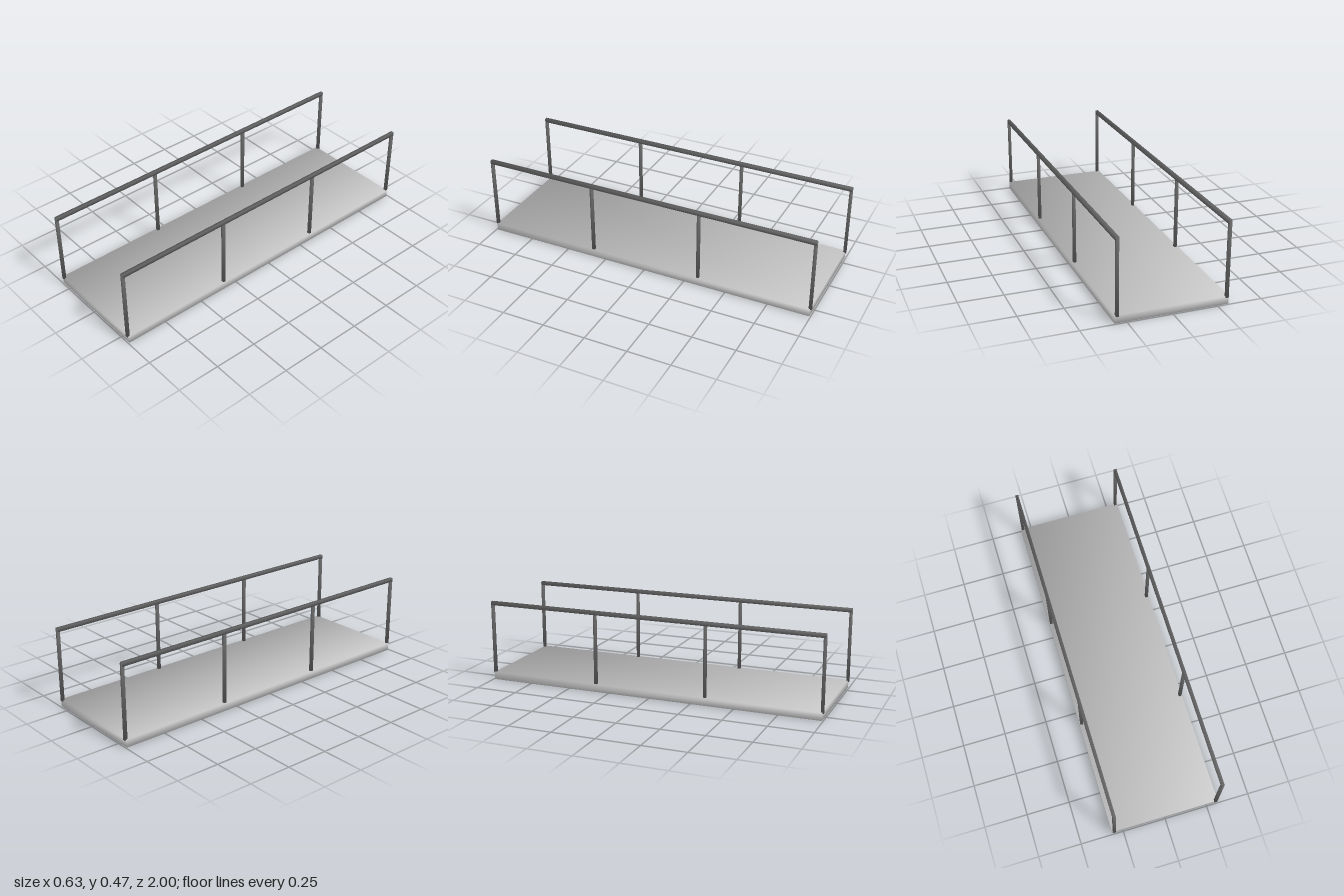
import * as THREE from 'three';

const deckMaterial = new THREE.MeshStandardMaterial({ color: 0xcccccc });
const railMaterial = new THREE.MeshStandardMaterial({ color: 0x666666 });

// Box shaded smoothly across its edges: every corner normal is the even
// average of its three faces
function smoothBox(w, h, d) {
  const geometry = new THREE.BoxGeometry(w, h, d);
  const { position, normal } = geometry.attributes;
  const n = new THREE.Vector3();
  for (let i = 0; i < position.count; i++) {
    n.set(Math.sign(position.getX(i)), Math.sign(position.getY(i)), Math.sign(position.getZ(i))).normalize();
    normal.setXYZ(i, n.x, n.y, n.z);
  }
  return geometry;
}

function addBox(parent, name, size, position, material) {
  const mesh = new THREE.Mesh(smoothBox(...size), material);
  mesh.name = name;
  mesh.position.set(...position);
  parent.add(mesh);
}

export function createModel() {
  const model = new THREE.Group();
  model.name = 'footbridge';

  // Flat walkway slab
  addBox(model, 'deck', [0.63, 0.045, 1.985], [0, 0.0225, 0], deckMaterial);

  // A handrail on four posts along each side
  for (const side of [1, -1]) {
    const railing = new THREE.Group();
    railing.name = side > 0 ? 'leftRailing' : 'rightRailing';
    const x = side * 0.3025;

    addBox(railing, 'handrail', [0.018, 0.022, 1.997], [x, 0.462, 0], railMaterial);

    // Posts run up into the handrail; the end ones sit just proud of the deck
    for (const z of [-0.992, -0.331, 0.331, 0.992]) {
      const name = Math.abs(z) > 0.5 ? 'endPost' : 'middlePost';
      addBox(railing, name, [0.016, 0.43, 0.016], [x, 0.254, z], railMaterial);
    }
    model.add(railing);
  }
  return model;
}
